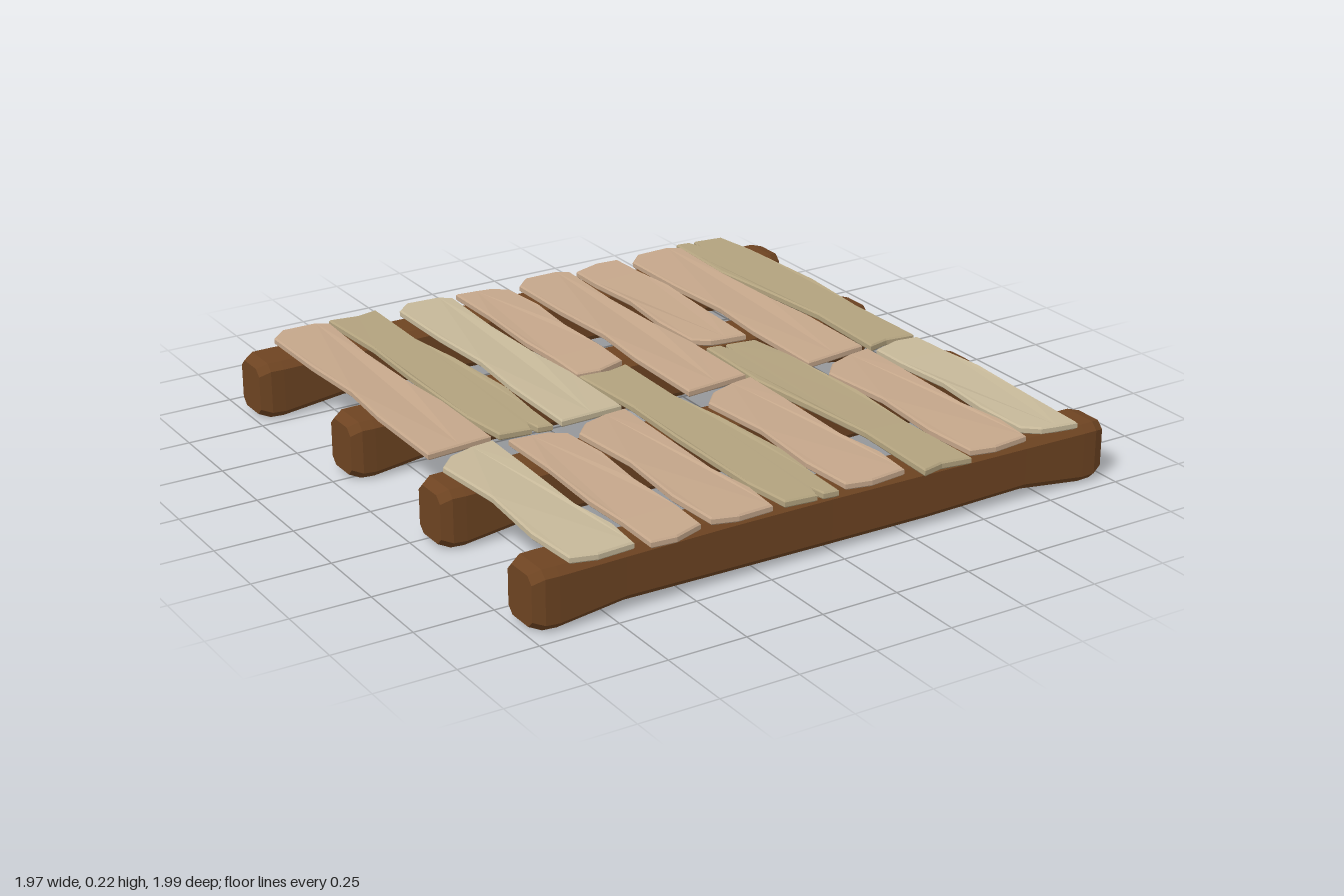
import * as THREE from 'three';

const PINK = 0xc4a68a, DARK = 0xb2a27e, PALE = 0xc6b899, BROWN = 0x6e4422;

// Board outlines seen from above, [x, z] in hundredths
const OUTLINES = {
  long: [[-5, -56], [7, -56], [11, -53], [9, -23], [9, 3], [11, 24], [11, 54], [0, 55],
    [-11, 56], [-11, 24], [-9.5, 3], [-10.5, -23], [-10, -51]],
  clipped: [[-8, -41], [-1, -40], [4, -39], [9, -35], [10, -17], [8, 4], [9, 25], [8.5, 38],
    [-1, 41], [-9, 40], [-9, 25], [-10, 9], [-8.5, -17]],
  slanted: [[-5.5, -37], [3, -40], [11, -41], [10, -21], [8.5, 11], [11, 27], [10, 40],
    [-2, 41], [-10, 39], [-11.5, 21], [-9.5, -5], [-11, -31]],
  split: [[-9, -56.5], [-4, -56], [-3, -51], [-2, -56], [8.5, -55], [10.5, -39], [11, -2],
    [9.5, 25], [10.5, 55], [0.5, 54], [-7, 56], [-6, 25], [-8.5, 4], [-11, -25], [-9.5, -44]],
};

// outline, colour, x, z, turned end for end
const BOARDS = [
  ['long', PINK, -0.76, -0.43, false],
  ['split', DARK, -0.54, -0.435, true],
  ['long', PALE, -0.31, -0.43, false],
  ['clipped', PINK, -0.10, -0.57, false],
  ['long', PINK, 0.14, -0.43, false],
  ['clipped', PINK, 0.355, -0.575, true],
  ['long', PINK, 0.585, -0.43, false],
  ['split', DARK, 0.79, -0.435, false],
  ['slanted', PALE, -0.77, 0.55, false],
  ['clipped', PINK, -0.54, 0.57, false],
  ['slanted', PINK, -0.315, 0.55, false],
  ['split', DARK, -0.09, 0.40, true],
  ['slanted', PINK, 0.14, 0.55, false],
  ['split', DARK, 0.355, 0.43, false],
  ['slanted', PINK, 0.585, 0.55, false],
  ['clipped', PALE, 0.80, 0.54, true],
];

// Thin worn board with a small bevel and a slight warp along its length
function boardGeometry(outline) {
  const shape = new THREE.Shape(outline.map(([x, z]) => new THREE.Vector2(x / 100, -z / 100)));
  const bevel = 0.005;
  const geo = new THREE.ExtrudeGeometry(shape, {
    depth: 0.014, bevelEnabled: true, bevelSegments: 1,
    bevelThickness: bevel, bevelSize: bevel, bevelOffset: -bevel,
  });
  geo.rotateX(-Math.PI / 2);
  const p = geo.attributes.position;
  for (let i = 0; i < p.count; i++) {
    p.setY(i, p.getY(i) - 0.007 + 0.004 * Math.cos(p.getZ(i) * 6));
  }
  geo.computeVertexNormals();
  return geo;
}

// Beam stations along its half length: [fraction, z shift, bottom, top, half width]
const STATIONS = [
  [-1, 0, 0.018, 0.172, 0.065],
  [-0.965, 0, 0.005, 0.188, 0.08],
  [-0.92, 0, 0.003, 0.188, 0.082],
  [-0.7, -0.004, 0.025, 0.187, 0.078],
  [-0.35, -0.008, 0.018, 0.188, 0.076],
  [0, -0.008, 0.016, 0.188, 0.077],
  [0.35, -0.002, 0.018, 0.188, 0.077],
  [0.7, 0.004, 0.028, 0.187, 0.076],
  [0.92, 0.006, 0.003, 0.188, 0.08],
  [0.965, 0.006, 0.005, 0.188, 0.08],
  [1, 0.006, 0.018, 0.18, 0.066],
];

// Hewn beam: chamfered square sections joined along x and capped
function beamGeometry(halfLength) {
  const pos = [], idx = [], n = 8, c = 0.022;
  for (const [f, dz, b, t, w] of STATIONS) {
    const ring = [[w - c, b], [w, b + c], [w, t - c], [w - c, t],
      [c - w, t], [-w, t - c], [-w, b + c], [c - w, b]];
    for (const [z, y] of ring) pos.push(f * halfLength, y, z + dz);
  }
  const last = (STATIONS.length - 1) * n;
  for (let s = 0; s < last; s += n) {
    for (let i = 0; i < n; i++) {
      const j = (i + 1) % n;
      const a = s + i, b = s + j, d = a + n, e = b + n;
      idx.push(a, d, b, b, d, e);
    }
  }
  for (let i = 1; i < n - 1; i++) {
    idx.push(0, i, i + 1, last, last + i + 1, last + i);
  }
  const geo = new THREE.BufferGeometry();
  geo.setAttribute('position', new THREE.Float32BufferAttribute(pos, 3));
  geo.setIndex(idx);
  geo.computeVertexNormals();
  return geo;
}

export function createModel() {
  const model = new THREE.Group();
  model.name = 'woodenPlatform';
  const material = (color) => new THREE.MeshStandardMaterial({ color, flatShading: true });
  const materials = new Map([PINK, DARK, PALE, BROWN].map((color) => [color, material(color)]));

  // Four support beams, the inner pair slightly shorter
  const beams = new THREE.Group();
  beams.name = 'supportBeams';
  [[-0.855, 0.985], [-0.285, 0.95], [0.285, 0.95], [0.87, 0.985]].forEach(([z, half], i) => {
    const beam = new THREE.Mesh(beamGeometry(half), materials.get(BROWN));
    beam.name = `supportBeam${i + 1}`;
    beam.position.z = z;
    beams.add(beam);
  });

  // Eight columns of deck boards in two staggered rows
  const deck = new THREE.Group();
  deck.name = 'deckBoards';
  const geometries = {};
  for (const key in OUTLINES) geometries[key] = boardGeometry(OUTLINES[key]);
  BOARDS.forEach(([key, color, x, z, turned], i) => {
    const board = new THREE.Mesh(geometries[key], materials.get(color));
    board.name = `deckBoard${i + 1}`;
    board.position.set(x, 0.2, z);
    if (turned) board.rotation.y = Math.PI;
    board.rotation.z = 0.025 * Math.sin(i * 2.3);
    deck.add(board);
  });

  model.add(beams, deck);
  return model;
}
